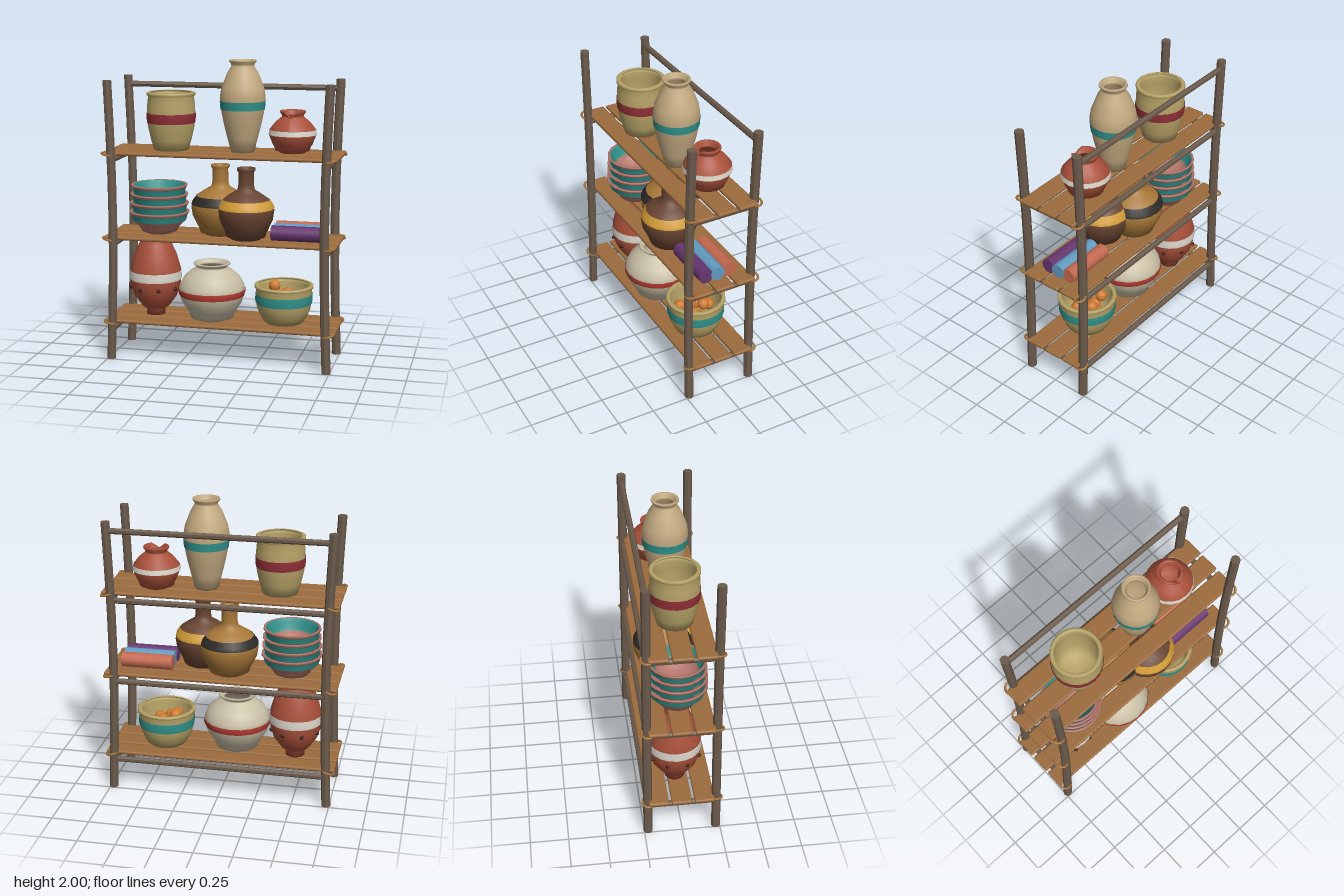
import * as THREE from 'three';
import { RoundedBoxGeometry } from 'three/addons/geometries/RoundedBoxGeometry.js';

const V = (p) => p.map(([r, y]) => new THREE.Vector2(r, y));

export function createModel() {
  const model = new THREE.Group();
  const mat = (color, extra = {}) => new THREE.MeshStandardMaterial({ color, ...extra });
  const bark = mat(0x6b5a4b, { flatShading: true });
  const plankMat = mat(0x9c6b3c);
  const ropeMat = mat(0xa8763c);

  const add = (name, geometry, material, x = 0, y = 0, z = 0, parent = model) => {
    const mesh = new THREE.Mesh(geometry, material);
    mesh.name = name;
    mesh.position.set(x, y, z);
    parent.add(mesh);
    return mesh;
  };

  // Posts: round poles that bow slightly inwards
  const H = 1.87;
  for (const sx of [-1, 1]) for (const sz of [-1, 1]) {
    const g = new THREE.CylinderGeometry(0.03, 0.03, H, 8, 6);
    const p = g.attributes.position;
    for (let i = 0; i < p.count; i++) {
      p.setX(i, p.getX(i) - sx * 0.025 * Math.cos(Math.PI * p.getY(i) / H));
    }
    add(sz > 0 ? 'frontPost' : 'backPost', g, bark, sx * 0.73, H / 2, sz * 0.225);
  }

  // Rails
  const rail = (name, length, radius, x, y, z, alongX) => {
    const g = new THREE.CylinderGeometry(radius, radius, length, 7);
    if (alongX) g.rotateZ(Math.PI / 2); else g.rotateX(Math.PI / 2);
    add(name, g, bark, x, y, z);
  };
  rail('topRail', 1.46, 0.02, 0, 1.81, -0.225, true);

  // Shelves: three planks, back and side rails, rope lashings
  for (const top of [0.265, 0.835, 1.4]) {
    for (const z of [-0.155, -0.005, 0.145]) {
      add('plank', new RoundedBoxGeometry(1.555, 0.025, 0.133, 2, 0.011), plankMat, 0, top - 0.0125, z);
    }
    rail('backRail', 1.44, 0.02, 0, top - 0.055, -0.225, true);
    for (const sx of [-1, 1]) {
      rail('sideRail', 0.45, 0.02, sx * 0.715, top - 0.055, 0, false);
      for (const sz of [-1, 1]) {
        const rope = add('ropeLashing', new THREE.TorusGeometry(0.04, 0.008, 6, 14), ropeMat,
          sx * 0.735, top - 0.015, sz * 0.22);
        rope.rotation.set(Math.PI / 2, sx * sz * 0.25, 0);
      }
    }
  }

  // Pot: outer wall from a profile, inner wall offset from it, painted band laid over the outside
  const pot = (name, [x, y, z], color, profile, band, wall = 0.016) => {
    const group = new THREE.Group();
    group.name = name;
    group.position.set(x, y, z);
    model.add(group);
    const inner = profile.slice(1).reverse().map(([r, h]) => [r - wall, h]);
    const floor = inner.length - 1;
    inner[floor] = [inner[floor][0], wall];
    const points = [[0, 0], ...profile, ...inner, [0, wall]];
    add('body', new THREE.LatheGeometry(V(points), 20), mat(color, { side: THREE.DoubleSide }), 0, 0, 0, group);
    if (band) {
      const [bandColor, y0, y1] = band;
      const radiusAt = (h) => {
        const i = Math.max(1, profile.findIndex((p) => p[1] >= h));
        const [[r0, h0], [r1, h1]] = [profile[i - 1], profile[i]];
        return r0 + (r1 - r0) * (h - h0) / (h1 - h0);
      };
      const hs = [y0, ...profile.map((p) => p[1]).filter((h) => h > y0 && h < y1), y1];
      add('paintedBand', new THREE.LatheGeometry(V(hs.map((h) => [radiusAt(h) + 0.003, h])), 20),
        mat(bandColor, { side: THREE.DoubleSide }), 0, 0, 0, group);
    }
    return group;
  };

  const teal = 0x2f918b, tan = 0xb8a468, terracotta = 0xa9503a, white = 0xdcd6cb;

  // Top shelf
  pot('tallCrock', [-0.365, 1.4, -0.005], tan,
    [[0.115, 0], [0.135, 0.07], [0.153, 0.15], [0.161, 0.22], [0.158, 0.3], [0.151, 0.355], [0.161, 0.362], [0.161, 0.378], [0.152, 0.382]],
    [0x8f2f36, 0.18, 0.245]);
  pot('tallVase', [0.12, 1.4, -0.005], 0xc4aa80,
    [[0.075, 0], [0.1, 0.09], [0.125, 0.19], [0.143, 0.28], [0.15, 0.36], [0.14, 0.42], [0.105, 0.51], [0.075, 0.56], [0.077, 0.575], [0.09, 0.59], [0.088, 0.6]],
    [teal, 0.28, 0.335]);
  const chipped = pot('chippedPot', [0.445, 1.4, -0.045], terracotta,
    [[0.08, 0], [0.13, 0.055], [0.156, 0.12], [0.15, 0.155], [0.115, 0.2], [0.073, 0.235], [0.07, 0.245], [0.085, 0.265], [0.083, 0.275]],
    [white, 0.12, 0.152]);
  // Chip in the front of the rim
  const rim = chipped.children[0].geometry;
  const rp = rim.attributes.position;
  for (let i = 0; i < rp.count; i++) {
    const a = Math.abs(Math.atan2(rp.getX(i), rp.getZ(i)));
    if (rp.getY(i) > 0.25) rp.setY(i, rp.getY(i) - 0.035 * Math.max(0, 1 - a / 0.6));
  }
  rim.computeVertexNormals();

  // Middle shelf: stacked bowls
  for (let i = 0; i < 4; i++) {
    const s = 1.06 - i * 0.02;
    const bowl = pot('stackedBowl', [-0.45, 0.835 + i * 0.06, 0], 0xb5776b,
      [[0.08, 0], [0.125, 0.045], [0.165, 0.085], [0.176, 0.125], [0.19, 0.14], [0.189, 0.15]],
      [teal, 0.088, 0.13], 0.014);
    bowl.scale.set(s, 1, s);
    add('bowlGlaze', new THREE.LatheGeometry(V([[0.138, 0.075], [0.15, 0.09], [0.161, 0.127], [0.174, 0.149]]), 20),
      mat(teal, { side: THREE.DoubleSide }), 0, 0, 0, bowl);
  }

  // Long-necked bottles
  const bottle = [[0.1, 0], [0.145, 0.06], [0.178, 0.13], [0.187, 0.19], [0.178, 0.225], [0.15, 0.265], [0.1, 0.3], [0.058, 0.325],
    [0.051, 0.36], [0.05, 0.44], [0.06, 0.455], [0.06, 0.47]];
  pot('paleBottle', [-0.04, 0.835, -0.045], 0xa87838, bottle, [0x2e2a26, 0.205, 0.262]).scale.set(1.04, 1, 1.04);
  pot('darkBottle', [0.16, 0.835, 0.065], 0x684431, bottle, [0xd09a35, 0.205, 0.262]);

  // Rolled cloths
  [[0x66356f, 0.082, 0.508], [0x629bc0, 0, 0.512], [0xc4694f, -0.084, 0.508]].forEach(([color, z, x]) => {
    add('clothRoll', new THREE.CylinderGeometry(0.05, 0.05, 0.345, 14).rotateZ(Math.PI / 2), mat(color), x, 0.885, z);
  });

  // Bottom shelf
  const jar = pot('studdedJar', [-0.487, 0.265, -0.02], terracotta,
    [[0.065, 0], [0.062, 0.035], [0.095, 0.06], [0.145, 0.13], [0.168, 0.2], [0.175, 0.26], [0.17, 0.32], [0.145, 0.41], [0.11, 0.49], [0.09, 0.525], [0.098, 0.54]],
    [white, 0.245, 0.305]);
  for (let i = 0; i < 8; i++) {
    const a = (i + 0.5) * Math.PI / 4;
    add('darkStud', new THREE.SphereGeometry(0.014, 8, 6), mat(0x3a1d17),
      Math.sin(a) * 0.166, 0.191, Math.cos(a) * 0.166, jar);
  }
  pot('wideWhitePot', [-0.08, 0.265, 0.03], 0xc9bfa6,
    [[0.1, 0], [0.16, 0.055], [0.205, 0.13], [0.224, 0.195], [0.218, 0.235], [0.19, 0.29], [0.14, 0.335], [0.105, 0.355], [0.106, 0.368], [0.125, 0.38], [0.122, 0.388]],
    [0xb03a30, 0.17, 0.213]);
  pot('fruitBowl', [0.405, 0.265, 0], tan,
    [[0.12, 0], [0.155, 0.045], [0.178, 0.1], [0.189, 0.16], [0.187, 0.235], [0.198, 0.242], [0.198, 0.255], [0.188, 0.26]],
    [teal, 0.135, 0.2]);

  // Fruit piled in the bowl
  const fruit = mat(0xd07a30);
  [[0.33, 0.495, -0.06], [0.38, 0.455, 0.03], [0.42, 0.45, -0.05], [0.35, 0.44, 0.09], [0.46, 0.43, 0.04], [0.4, 0.42, -0.1],
    [0.35, 0.42, -0.02], [0.4, 0.38, 0.05], [0.43, 0.37, -0.02], [0.34, 0.37, 0.03]].forEach(([x, y, z]) => {
    add('fruit', new THREE.SphereGeometry(0.04, 12, 8), fruit, x, y, z);
  });

  return model;
}
